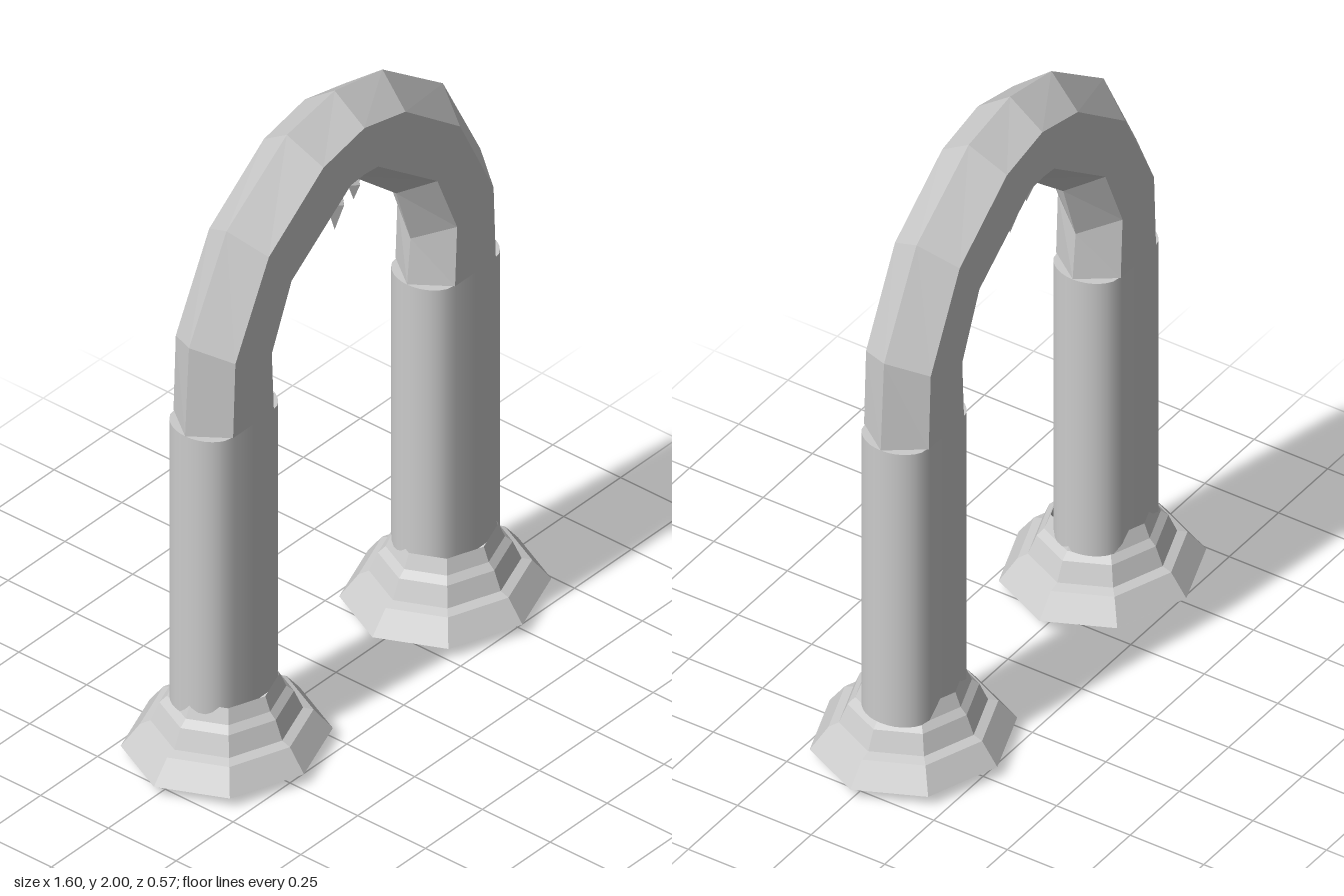
import * as THREE from 'three';

const flat = new THREE.MeshStandardMaterial({ color: 0xcccccc, flatShading: true, side: THREE.DoubleSide });
const smooth = new THREE.MeshStandardMaterial({ color: 0xcccccc });
const CX = 0.012, CZ = -0.015, HALF = 0.11; // arch centre and half depth

function add(group, name, geometry, material, x = 0, y = 0, z = 0) {
  const mesh = new THREE.Mesh(geometry, material);
  mesh.name = name;
  mesh.position.set(x, y, z);
  group.add(mesh);
  return mesh;
}

// Arch: hexagonal section swept over the half outline and mirrored
function archGeometry() {
  // each row: outer ridge, outer edge, inner edge, inner ridge as [x, y]
  const half = [
    [[0.657, 1.16], [0.577, 1.16], [0.398, 1.16], [0.318, 1.16]],
    [[0.64, 1.455], [0.567, 1.41], [0.407, 1.36], [0.333, 1.31]],
    [[0.475, 1.77], [0.42, 1.70], [0.32, 1.565], [0.27, 1.50]],
    [[0.21, 1.96], [0.18, 1.88], [0.06, 1.755], [0.055, 1.68]],
    [[0, 2.0], [0, 1.92], [0, 1.76], [0, 1.70]],
  ];
  const flip = (row, s) => row.map(([x, y]) => [x * s, y]);
  const rows = [
    ...half.map((r) => flip(r, -1)),
    ...half.slice(0, -1).reverse().map((r) => flip(r, 1)),
  ];
  const pos = [], idx = [];
  for (const [or, oe, ie, ir] of rows) {
    const ring = [[or, 0], [oe, HALF], [ie, HALF], [ir, 0], [ie, -HALF], [oe, -HALF]];
    for (const [[x, y], z] of ring) pos.push(x, y, z);
  }
  for (let i = 0; i < rows.length - 1; i++) {
    for (let j = 0; j < 6; j++) {
      const k = (j + 1) % 6;
      const a = i * 6 + j, b = i * 6 + k, c = b + 6, d = a + 6;
      idx.push(a, b, d, b, c, d);
    }
  }
  const g = new THREE.BufferGeometry();
  g.setAttribute('position', new THREE.Float32BufferAttribute(pos, 3));
  g.setIndex(idx);
  g.computeVertexNormals();
  return g;
}

// Column: flat front and back with rounded ends, smooth around
function columnGeometry(bottom, top) {
  const g = new THREE.CylinderGeometry(1, 1, top - bottom, 32);
  const p = g.attributes.position, n = g.attributes.normal;
  for (let i = 0; i < p.count; i++) {
    const x = p.getX(i), z = p.getZ(i);
    const side = Math.abs(x) < 1e-6 ? 0 : Math.sign(x);
    p.setX(i, x * 0.09 + side * 0.08 * Math.min(1, Math.abs(x) * 4));
    p.setZ(i, z * HALF);
    if (Math.abs(n.getY(i)) < 0.5) {
      const v = new THREE.Vector3(x / 0.09, 0, z / HALF).normalize();
      n.setXYZ(i, v.x, 0, v.z);
    }
  }
  g.translate(0, (top + bottom) / 2, 0);
  return g;
}

// Base: hollow stepped octagonal foot, open above and below
function baseGeometry() {
  const profile = [
    [0.23, 0.005], [0.32, 0.04], [0.262, 0.11], [0.23, 0.12],
    [0.203, 0.18], [0.18, 0.2], [0.16, 0.245],
  ].map(([r, y]) => new THREE.Vector2(r, y));
  return new THREE.LatheGeometry(profile, 8).scale(1, 1, 0.89);
}

// Crystal: four-sided double point
function crystalGeometry(radius, bottom, middle, top) {
  const points = [[0, bottom], [radius, middle], [0, top]].map(([r, y]) => new THREE.Vector2(r, y));
  return new THREE.LatheGeometry(points, 4);
}

export function createModel() {
  const model = new THREE.Group();
  model.name = 'archway';

  add(model, 'arch', archGeometry(), flat, CX, 0, CZ);

  for (const [side, s] of [['left', 1], ['right', -1]]) {
    add(model, side + 'Column', columnGeometry(0.2, 1.16), smooth, CX + s * 0.487, 0, CZ);
    add(model, side + 'Base', baseGeometry(), flat, s * 0.48, 0, 0);
  }

  // hanging crystals under the crown
  add(model, 'centreCrystal', crystalGeometry(0.035, 1.52, 1.62, 1.75), flat, CX, 0, CZ);
  for (const [side, s] of [['left', 1], ['right', -1]]) {
    add(model, side + 'Crystal', crystalGeometry(0.024, 1.58, 1.64, 1.74), flat, CX + s * 0.083, 0, CZ);
  }
  return model;
}
